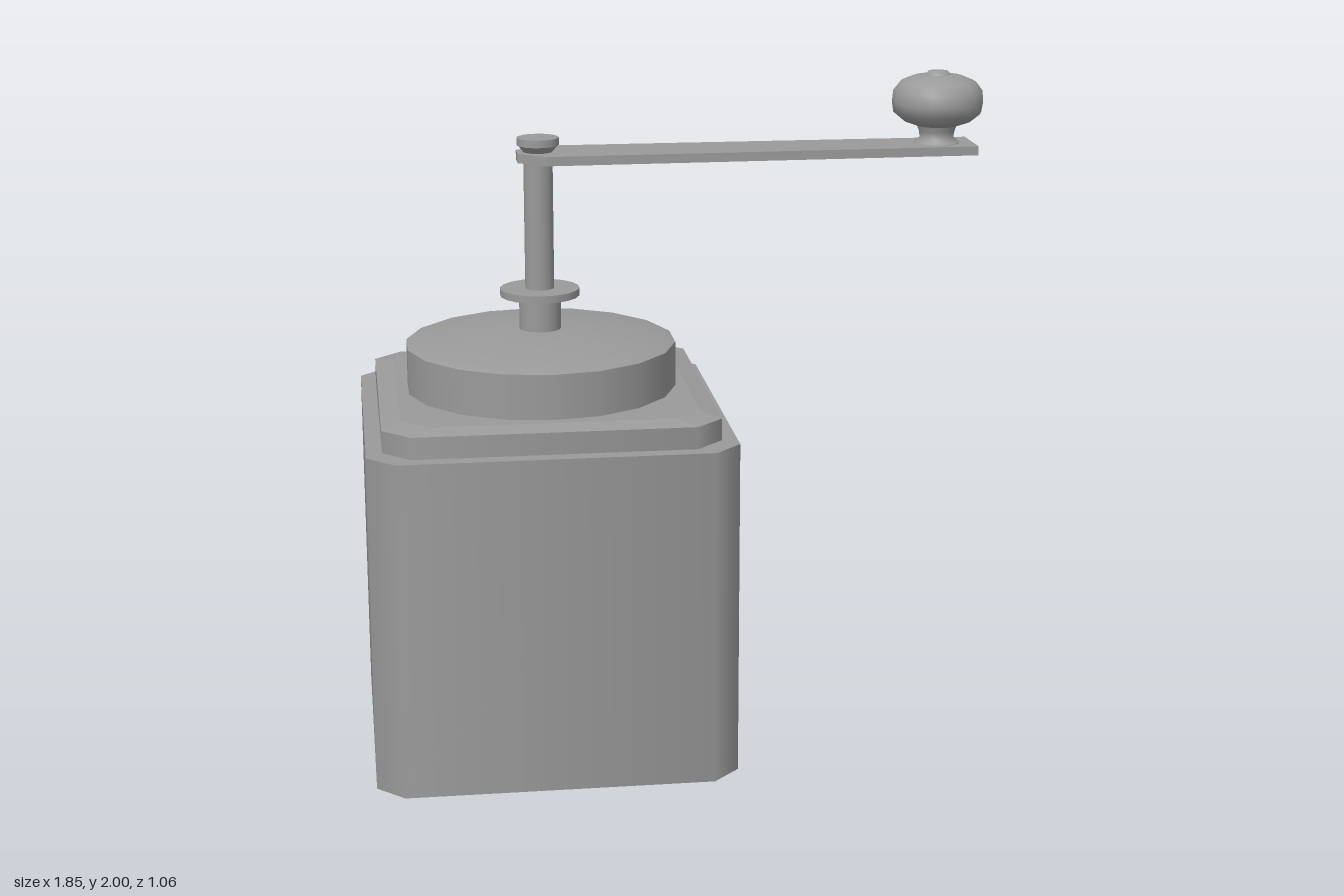
import * as THREE from 'three';

const SIDES = 18;
const AXIS_X = -0.398; // grinder axis
const KNOB_X = 0.792; // crank knob axis

const material = new THREE.MeshStandardMaterial({ color: 0x9a9a9a });

function add(group, name, geometry, x = 0, y = 0) {
  const mesh = new THREE.Mesh(geometry, material);
  mesh.name = name;
  mesh.position.set(x, y, 0);
  group.add(mesh);
}

// Square block with cut corners; the radial normals keep its sides softly shaded
function chamferedBlock(bottomHalf, topHalf, cut, height) {
  const geo = new THREE.CylinderGeometry(1, 1, height, 8, 1, false, Math.PI / 8);
  const p = geo.attributes.position;
  for (let i = 0; i < p.count; i++) {
    const x = p.getX(i), z = p.getZ(i);
    if (Math.hypot(x, z) < 0.5) continue; // cap centres
    const half = p.getY(i) > 0 ? topHalf : bottomHalf;
    const wideX = Math.abs(x) > Math.abs(z);
    p.setX(i, Math.sign(x) * (wideX ? half : half - cut));
    p.setZ(i, Math.sign(z) * (wideX ? half - cut : half));
  }
  return geo.translate(0, height / 2, 0);
}

// Round part standing on its base
const round = (rTop, rBottom, height) =>
  new THREE.CylinderGeometry(rTop, rBottom, height, SIDES).translate(0, height / 2, 0);

const lathe = (points) =>
  new THREE.LatheGeometry(points.map(([r, y]) => new THREE.Vector2(r, y)), SIDES);

export function createModel() {
  const group = new THREE.Group();
  group.name = 'handGrinder';

  // Box and stepped lid plate
  add(group, 'body', chamferedBlock(0.532, 0.532, 0.08, 1.005), AXIS_X);
  add(group, 'lidPlate', chamferedBlock(0.486, 0.486, 0.08, 0.065), AXIS_X, 1.005);
  const slope = chamferedBlock(0.486, 0.43, 0.08, 0.012).toNonIndexed();
  slope.computeVertexNormals();
  add(group, 'lidSlope', slope, AXIS_X, 1.07);

  // Round cover with a shallow dome
  add(group, 'coverWall', round(0.402, 0.402, 0.145), AXIS_X, 1.07);
  add(group, 'coverDome', lathe([
    [0.402, 1.215], [0.385, 1.222], [0.3, 1.235], [0.2, 1.246], [0.1, 1.254], [0, 1.256],
  ]), AXIS_X);

  // Drive shaft
  add(group, 'shaftCollar', round(0.062, 0.062, 0.12), AXIS_X, 1.24);
  add(group, 'shaftFlange', round(0.118, 0.118, 0.022), AXIS_X, 1.355);
  add(group, 'shaft', round(0.043, 0.043, 0.4), AXIS_X, 1.365);

  // Flat crank arm, slightly tapered, with cut corners at the shaft end
  const arm = new THREE.Shape();
  arm.moveTo(0.9, -0.085);
  arm.lineTo(0.9, 0.085);
  arm.lineTo(-0.38, 0.098);
  arm.lineTo(-0.46, 0.035);
  arm.lineTo(-0.46, -0.035);
  arm.lineTo(-0.38, -0.098);
  arm.closePath();
  const armGeo = new THREE.ExtrudeGeometry(arm, { depth: 0.027, bevelEnabled: false });
  add(group, 'crankArm', armGeo.rotateX(-Math.PI / 2), 0, 1.757);

  // Cap screw
  add(group, 'screwNeck', round(0.06, 0.042, 0.022), AXIS_X, 1.783);
  add(group, 'screwHead', round(0.062, 0.062, 0.022), AXIS_X, 1.804);

  // Turned knob with a small nub on top
  add(group, 'knobStem', lathe([
    [0.067, 1.783], [0.066, 1.788], [0.05, 1.8], [0.053, 1.82], [0.063, 1.845],
  ]), KNOB_X);
  add(group, 'knob', lathe([
    [0.03, 1.835], [0.063, 1.837], [0.1, 1.85], [0.13, 1.875], [0.135, 1.905],
    [0.132, 1.94], [0.112, 1.966], [0.075, 1.982], [0.036, 1.987],
  ]), KNOB_X);
  add(group, 'knobNub', lathe([[0.036, 1.987], [0.03, 1.997], [0, 2]]), KNOB_X);

  return group;
}
